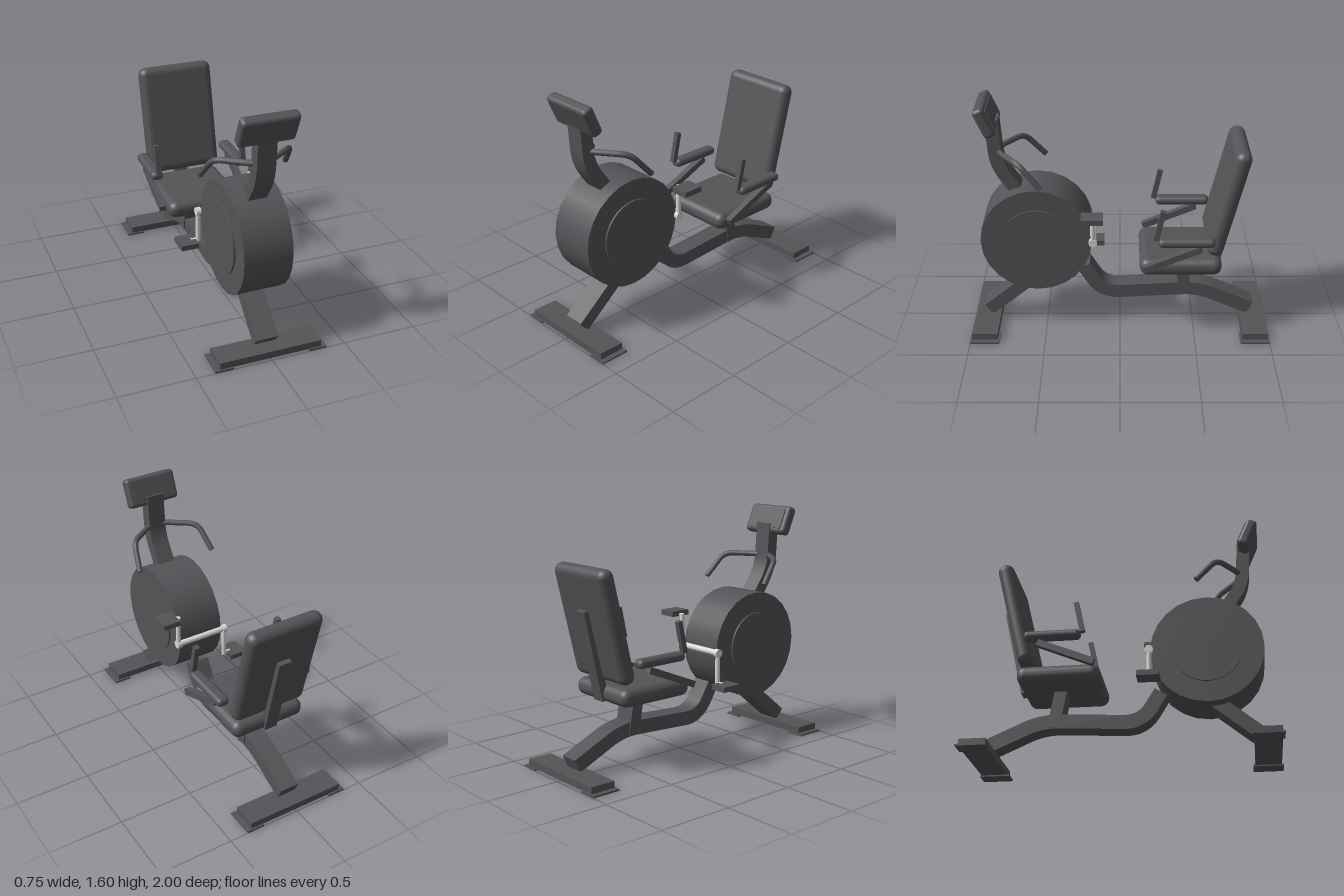
import * as THREE from 'three';
import { toCreasedNormals } from 'three/addons/utils/BufferGeometryUtils.js';
import { RoundedBoxGeometry } from 'three/addons/geometries/RoundedBoxGeometry.js';

export function createModel() {
  const model = new THREE.Group();
  model.name = 'recumbentBike';
  const dark = new THREE.MeshStandardMaterial({ color: 0x545357 });
  dark.name = 'charcoal';
  const metal = new THREE.MeshStandardMaterial({ color: 0xdadad6 });
  metal.name = 'lightMetal';

  function add(name, geometry, x, y, z, material = dark) {
    const mesh = new THREE.Mesh(geometry, material);
    mesh.name = name;
    mesh.position.set(x, y, z);
    model.add(mesh);
    return mesh;
  }
  const box = (name, w, h, d, x, y, z) => add(name, new THREE.BoxGeometry(w, h, d), x, y, z);
  const pad = (name, w, h, d, r, x, y, z) => add(name, new RoundedBoxGeometry(w, h, d, 5, r), x, y, z);
  function rod(name, r, length, x, y, z, axis, material, sides = 16) {
    const g = new THREE.CylinderGeometry(r, r, length, sides);
    if (axis === 'x') g.rotateZ(Math.PI / 2);
    return add(name, g, x, y, z, material);
  }

  // Centre line in the side plane with rounded corners; points are [z, y]
  function roundedPath(points, fillet) {
    const p = points.map(([z, y]) => new THREE.Vector2(-z, y));
    const out = [p[0]];
    for (let i = 1; i < p.length - 1; i++) {
      const a = p[i].clone().add(p[i - 1].clone().sub(p[i]).setLength(fillet));
      const b = p[i].clone().add(p[i + 1].clone().sub(p[i]).setLength(fillet));
      out.push(...new THREE.QuadraticBezierCurve(a, p[i], b).getPoints(10));
    }
    out.push(p[p.length - 1]);
    return out;
  }

  // Rectangular beam following a bent centre line
  function beam(name, points, thickness, width, x = 0, fillet = 0.1) {
    const path = roundedPath(points, fillet);
    const upper = [], lower = [];
    path.forEach((p, i) => {
      const before = path[Math.max(i - 1, 0)], after = path[Math.min(i + 1, path.length - 1)];
      const t = after.clone().sub(before).normalize();
      const n = new THREE.Vector2(-t.y, t.x).multiplyScalar(thickness / 2);
      upper.push(p.clone().add(n));
      lower.unshift(p.clone().sub(n));
    });
    const g = new THREE.ExtrudeGeometry(new THREE.Shape([...upper, ...lower]), { depth: width, bevelEnabled: false });
    g.translate(0, 0, -width / 2).rotateY(Math.PI / 2);
    return add(name, toCreasedNormals(g, 0.5), x, 0, 0);
  }

  // Floor stabilisers with foot plates
  for (const s of [1, -1]) {
    box(s > 0 ? 'frontBase' : 'rearBase', 0.68, 0.047, 0.17, 0, 0.0325, s * 0.903);
    for (const x of [-1, 1]) box('footPlate', 0.12, 0.012, 0.195, x * 0.314, 0.006, s * 0.9025);
  }

  // Frame
  beam('frontStrut', [[0.9, 0.08], [0.53, 0.385]], 0.089, 0.144);
  beam('mainFrame', [[0.243, 0.42], [0.12, 0.217], [-0.53, 0.252], [-0.893, 0.09]], 0.095, 0.132, 0, 0.12);
  beam('seatPost', [[-0.405, 0.47], [-0.45, 0.205]], 0.08, 0.145);
  beam('backSupport', [[-0.652, 0.465], [-0.782, 1.05]], 0.05, 0.09);

  // Flywheel housing with raised side covers
  rod('flywheelHousing', 0.365, 0.32, 0, 0.665, 0.55, 'x', dark, 24);
  rod('sideCovers', 0.228, 0.344, 0, 0.665, 0.55, 'x', dark, 32);

  // Seat cushions
  pad('seat', 0.525, 0.117, 0.54, 0.055, 0, 0.508, -0.4);
  pad('backrest', 0.525, 0.75, 0.108, 0.052, 0, 0.96, -0.698).rotation.x = -0.235;

  // Armrests, their braces and upright grips
  for (const s of [1, -1]) {
    pad('armrest', 0.083, 0.058, 0.365, 0.027, s * 0.307, 0.739, -0.428);
    beam('armrestBrace', [[-0.158, 0.54], [-0.522, 0.692]], 0.043, 0.043, s * 0.308);
    beam('armrestGrip', [[-0.232, 0.755], [-0.276, 0.962]], 0.034, 0.034, s * 0.307);
  }

  // Crank and pedals
  const crankZ = 0.178, crankY = 0.665;
  rod('crankAxle', 0.02, 0.37, 0, crankY, crankZ, 'x', metal);
  for (const s of [1, -1]) {
    rod('crankHub', 0.028, 0.03, s * 0.18, crankY, crankZ, 'x', metal);
    rod('crankArm', 0.016, 0.215, s * 0.18, crankY + s * 0.108, crankZ, 'y', metal);
    rod('pedalSpindle', 0.012, 0.06, s * 0.2, crankY + s * 0.205, crankZ, 'x', metal);
    box('pedal', 0.12, 0.036, 0.142, s * 0.259, crankY + s * 0.215, 0.18);
  }

  // Console column, display housing and screen
  beam('consoleColumn', [[0.67, 0.985], [0.795, 1.165], [0.815, 1.475]], 0.085, 0.122);
  const tilt = 0.41;
  pad('console', 0.367, 0.2, 0.076, 0.025, 0, 1.497, 0.846).rotation.x = tilt;
  const screen = box('screen', 0.3, 0.14, 0.008, 0, 1.497 + 0.041 * Math.sin(tilt), 0.846 - 0.041 * Math.cos(tilt));
  screen.rotation.x = tilt;

  // Handlebars with closed ends
  for (const s of [1, -1]) {
    const v = (x, y, z) => new THREE.Vector3(s * x, y, z);
    const path = new THREE.CurvePath();
    const corner = [v(0.195, 1.255, 0.675), v(0.245, 1.255, 0.635), v(0.256, 1.215, 0.6)];
    const end = v(0.282, 1.1, 0.5);
    path.add(new THREE.LineCurve3(v(0.03, 1.255, 0.785), v(0.09, 1.255, 0.75)));
    path.add(new THREE.LineCurve3(v(0.09, 1.255, 0.75), corner[0]));
    path.add(new THREE.QuadraticBezierCurve3(...corner));
    path.add(new THREE.LineCurve3(corner[2], end));
    add('handlebar', new THREE.TubeGeometry(path, 40, 0.019, 12), 0, 0, 0);
    const cap = add('handlebarEnd', new THREE.CircleGeometry(0.019, 12), end.x, end.y, end.z);
    cap.lookAt(end.clone().add(end.clone().sub(corner[2])));
  }

  return model;
}
